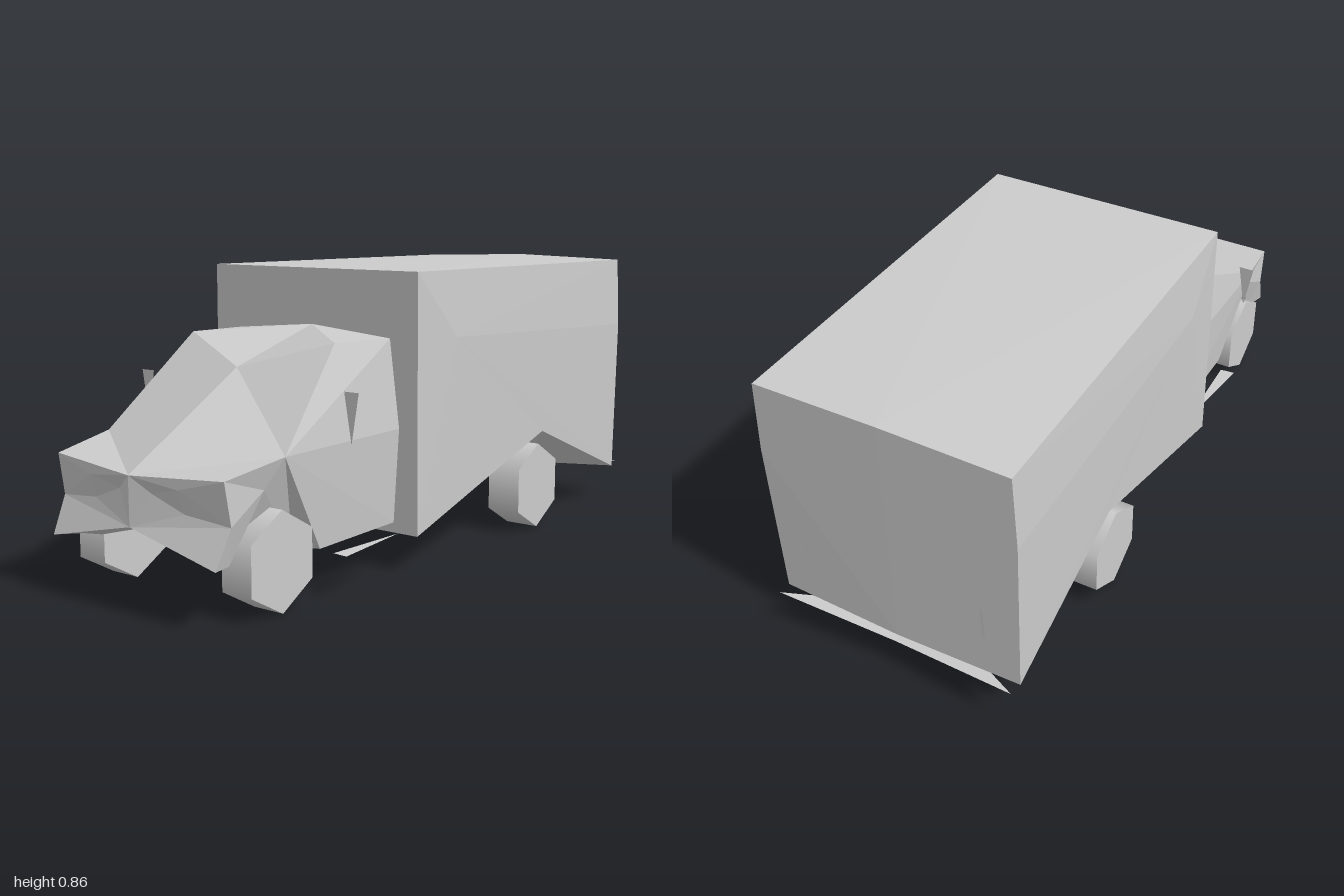
import * as THREE from 'three';

const facets = new THREE.MeshStandardMaterial({ color: 0xcccccc, flatShading: true, side: THREE.DoubleSide });
const smooth = new THREE.MeshStandardMaterial({ color: 0xcccccc });

// Faceted shell: polygons name corner points of the +x half; each is fanned and mirrored to -x
function shell(name, points, polygons) {
  const positions = [];
  for (const polygon of polygons) {
    const c = polygon.split(' ').map((key) => points[key]);
    for (let i = 1; i < c.length - 1; i++) {
      positions.push(...c[0], ...c[i], ...c[i + 1]);
      for (const [x, y, z] of [c[0], c[i + 1], c[i]]) positions.push(-x, y, z);
    }
  }
  const geometry = new THREE.BufferGeometry();
  geometry.setAttribute('position', new THREE.Float32BufferAttribute(positions, 3));
  geometry.computeVertexNormals();
  const mesh = new THREE.Mesh(geometry, facets);
  mesh.name = name;
  return mesh;
}

// Cargo box with a slight bulge in the sides and pointed rear wheel arches
function cargoBox() {
  const p = {
    frontTop: [0.38, 0.855, 0.265], frontLow: [0.383, 0.105, 0.265],
    rearTop: [0.38, 0.845, -0.96], rearMid: [0.39, 0.62, -0.96], rearLow: [0.383, 0.11, -0.955],
    bulge: [0.392, 0.66, 0.08], arch: [0.385, 0.31, -0.44],
    innerFront: [0.22, 0.14, -0.15], innerRear: [0.22, 0.16, -0.62],
    midFrontTop: [0, 0.855, 0.265], midFrontLow: [0, 0.105, 0.265],
    midRearTop: [0, 0.855, -0.965], midRearLow: [0, 0.11, -0.965],
  };
  return shell('cargoBox', p, [
    'bulge frontLow arch rearLow rearMid rearTop frontTop frontLow',
    'midFrontLow frontLow frontTop midFrontTop',
    'midRearLow midRearTop rearTop rearMid rearLow',
    'frontTop rearTop midRearTop midFrontTop',
    'midFrontLow midRearLow innerRear innerFront',
    'midRearLow rearLow innerRear',
    'midFrontLow innerFront frontLow',
    'frontLow innerFront arch', 'innerFront innerRear arch', 'innerRear rearLow arch',
  ]);
}

// Cab: roof, windscreen and bonnet, doors, wings, nose and underside
function cab() {
  const p = {
    roofBack: [0.285, 0.665, 0.265], roofMid: [0, 0.69, 0.265], roofFront: [0.265, 0.67, 0.49],
    screen: [0, 0.595, 0.59], cowl: [0.328, 0.41, 0.77],
    bonnetMid: [0, 0.36, 1], bonnetEdge: [0.305, 0.378, 0.97],
    lamp: [0.16, 0.34, 0.985], grille: [0.06, 0.315, 0.975], slot: [0.165, 0.275, 0.965],
    bumperTop: [0.308, 0.26, 0.95], bumperLow: [0.3, 0.158, 1], bumperMid: [0, 0.225, 1],
    archTop: [0.3, 0.33, 0.82], archFront: [0.27, 0.15, 0.92],
    wellFront: [0.22, 0.15, 0.9], wellBack: [0.22, 0.127, 0.62],
    sillFront: [0.3, 0.13, 0.6], sillBack: [0.3, 0.135, 0.265], doorBack: [0.318, 0.41, 0.265],
    floorFront: [0, 0.133, 0.62], floorBack: [0, 0.135, 0.265],
  };
  return shell('cab', p, [
    'screen roofFront roofMid', 'roofFront roofBack roofMid',
    'screen cowl roofFront', 'screen bonnetMid cowl', 'bonnetMid bonnetEdge cowl',
    'cowl sillFront sillBack doorBack roofBack roofFront',
    'bonnetEdge bumperTop archTop cowl', 'bumperTop bumperLow archFront', 'bumperTop archFront archTop',
    'cowl archTop wellBack sillFront', 'archTop archFront wellFront wellBack',
    'bonnetMid lamp bonnetEdge', 'bonnetMid grille lamp', 'lamp bumperTop bonnetEdge',
    'lamp slot bumperTop', 'grille slot lamp', 'grille bumperMid slot', 'bonnetMid bumperMid grille',
    'bumperMid bumperLow bumperTop slot',
    'bumperMid floorFront wellBack wellFront archFront bumperLow',
    'floorFront floorBack sillBack sillFront wellBack',
    'floorBack roofMid roofBack doorBack sillBack',
  ]);
}

// Six-sided wheel with one corner pointing straight up
function wheel(name, x, z, width) {
  const mesh = new THREE.Mesh(new THREE.CylinderGeometry(0.137, 0.137, width, 6), smooth);
  mesh.geometry.rotateY(Math.PI / 2).rotateZ(Math.PI / 2);
  mesh.position.set(x, 0.137, z);
  mesh.name = name;
  return mesh;
}

export function createModel() {
  const group = new THREE.Group();
  group.name = 'boxTruck';
  group.add(cargoBox(), cab());

  // Rear lip under the doors
  group.add(shell('rearBumper', {
    mid: [0, 0.1, -0.98], tip: [0.38, 0.12, -1], inner: [0.28, 0.108, -0.95], front: [0, 0.086, -0.88],
  }, ['mid tip inner front']));

  // Thin wing mirrors
  group.add(shell('wingMirrors', {
    inner: [0.356, 0.555, 0.565], tip: [0.38, 0.415, 0.565], outer: [0.404, 0.555, 0.565],
  }, ['inner tip outer']));

  // Flat side steps behind the front wheels
  group.add(shell('sideSteps', {
    inner: [0.322, 0.115, 0.57], outer: [0.37, 0.115, 0.575], back: [0.328, 0.11, 0.28],
  }, ['inner outer back']));

  // Narrow slits on the rear doors
  group.add(shell('doorHandles', {
    lowIn: [0.278, 0.25, -0.966], lowOut: [0.286, 0.25, -0.966],
    topOut: [0.284, 0.36, -0.97], topIn: [0.276, 0.36, -0.97],
  }, ['lowIn topIn topOut lowOut']));

  for (const [label, side] of [['Left', 1], ['Right', -1]]) {
    group.add(wheel('frontWheel' + label, side * 0.27, 0.775, 0.1));
    group.add(wheel('rearWheel' + label, side * 0.335, -0.405, 0.11));
  }
  return group;
}
